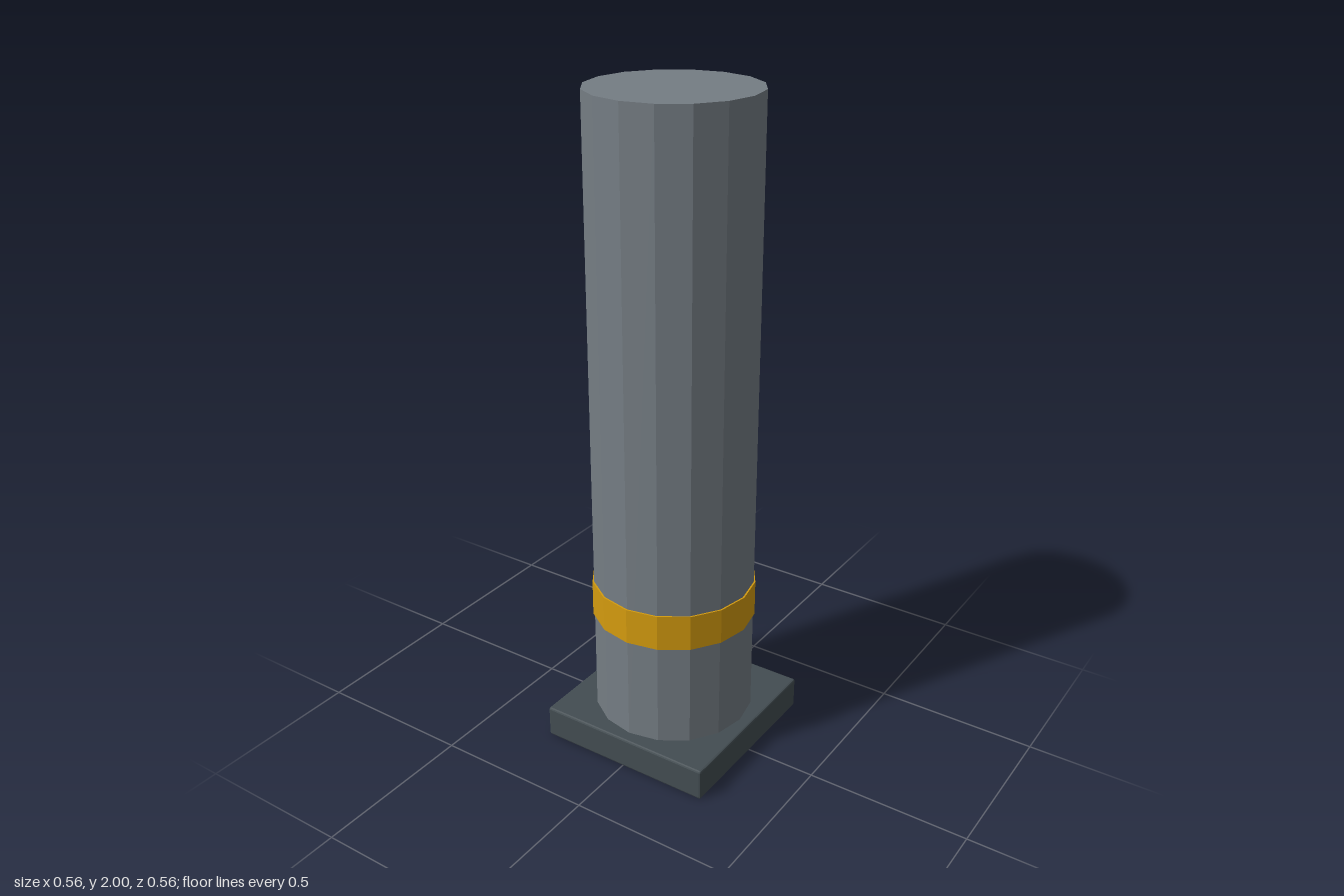
import * as THREE from 'three';
import { RoundedBoxGeometry } from 'three/addons/geometries/RoundedBoxGeometry.js';

const SIDES = 16;

function material(name, color) {
  const m = new THREE.MeshStandardMaterial({ color, flatShading: true });
  m.name = name;
  return m;
}

export function createModel() {
  const group = new THREE.Group();
  group.name = 'bollard';

  const steel = material('steel grey', 0x757d84);
  const darkSteel = material('dark slate', 0x434d52);
  const yellow = material('safety yellow', 0xd49b0f);

  const add = (name, geometry, mat, bottom, height) => {
    const mesh = new THREE.Mesh(geometry, mat);
    mesh.name = name;
    mesh.position.y = bottom + height / 2;
    group.add(mesh);
  };
  const prism = (radius, height) => new THREE.CylinderGeometry(radius, radius, height, SIDES);

  // Square foot plate with slightly bevelled edges
  add('basePlate', new RoundedBoxGeometry(0.565, 0.1, 0.565, 1, 0.006), darkSteel, 0, 0.1);

  // Faceted post, set into the plate
  add('post', prism(0.245, 1.95), steel, 0.05, 1.95);

  // Thin marker band standing just proud of the post
  add('band', prism(0.25, 0.112), yellow, 0.428, 0.112);

  return group;
}
